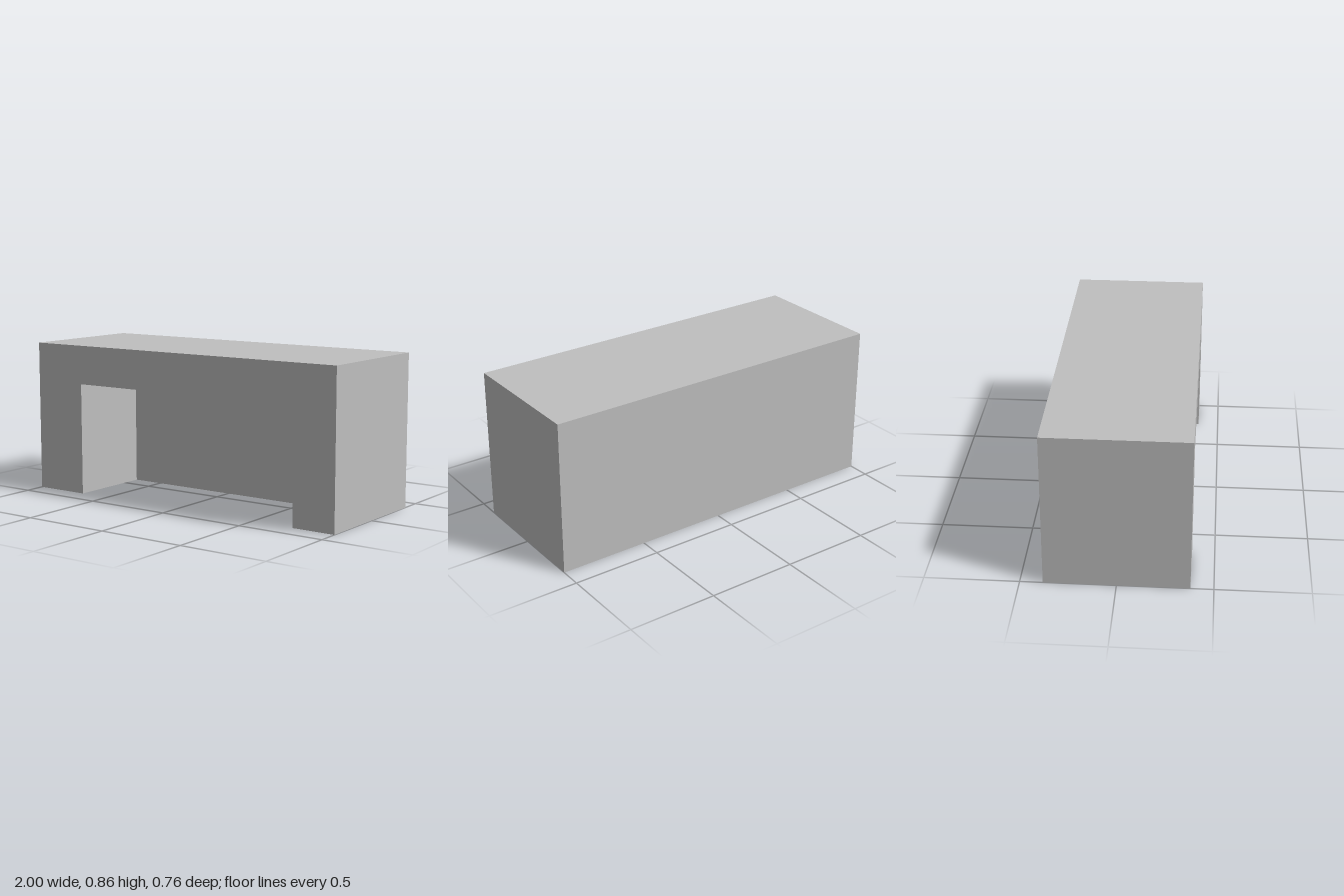
import * as THREE from 'three';
import { mergeGeometries } from 'three/addons/utils/BufferGeometryUtils.js';

const H = 0.855, D = 0.38;                 // height, half depth (half width is 1)
const LEFT = 0.75, RIGHT = -0.68;          // sides of the recess
const CEIL = 0.635, WALL = -0.11;          // recess ceiling height and back wall z
const Q = Math.PI / 2;

// Flat rectangle facing +z, turned, then moved to its centre
function panel(w, h, rx, ry, x, y, z) {
  return new THREE.PlaneGeometry(w, h).rotateX(rx).rotateY(ry).translate(x, y, z);
}

// U-shaped face: full width from open to far, notched from open to notch
function notched(open, far, notch) {
  return new THREE.ShapeGeometry(new THREE.Shape([
    [-1, open], [RIGHT, open], [RIGHT, notch], [LEFT, notch],
    [LEFT, open], [1, open], [1, far], [-1, far],
  ].map(([u, v]) => new THREE.Vector2(u, v))));
}

export function createModel() {
  const grey = new THREE.MeshStandardMaterial({ color: 0xbfbfbf });
  grey.name = 'grey';

  const span = LEFT - RIGHT, mid = (LEFT + RIGHT) / 2;
  const deep = D - WALL, midZ = (D + WALL) / 2;

  const outside = [
    notched(0, H, CEIL).translate(0, 0, D),        // front
    notched(D, -D, WALL).rotateX(Q),               // underside
    panel(2, H, 0, 2 * Q, 0, H / 2, -D),           // back
    panel(2, 2 * D, -Q, 0, 0, H, 0),               // top
    panel(2 * D, H, 0, Q, 1, H / 2, 0),            // left end
    panel(2 * D, H, 0, -Q, -1, H / 2, 0),          // right end
  ];
  const inside = [
    panel(span, CEIL, 0, 0, mid, CEIL / 2, WALL),  // back wall
    panel(span, deep, Q, 0, mid, CEIL, midZ),      // ceiling
    panel(deep, CEIL, 0, -Q, LEFT, CEIL / 2, midZ),
    panel(deep, CEIL, 0, Q, RIGHT, CEIL / 2, midZ),
  ];

  const group = new THREE.Group();
  group.name = 'recessedBlock';
  for (const [name, faces] of [['outerBody', outside], ['kneeRecess', inside]]) {
    const mesh = new THREE.Mesh(mergeGeometries(faces), grey);
    mesh.name = name;
    group.add(mesh);
  }
  return group;
}
